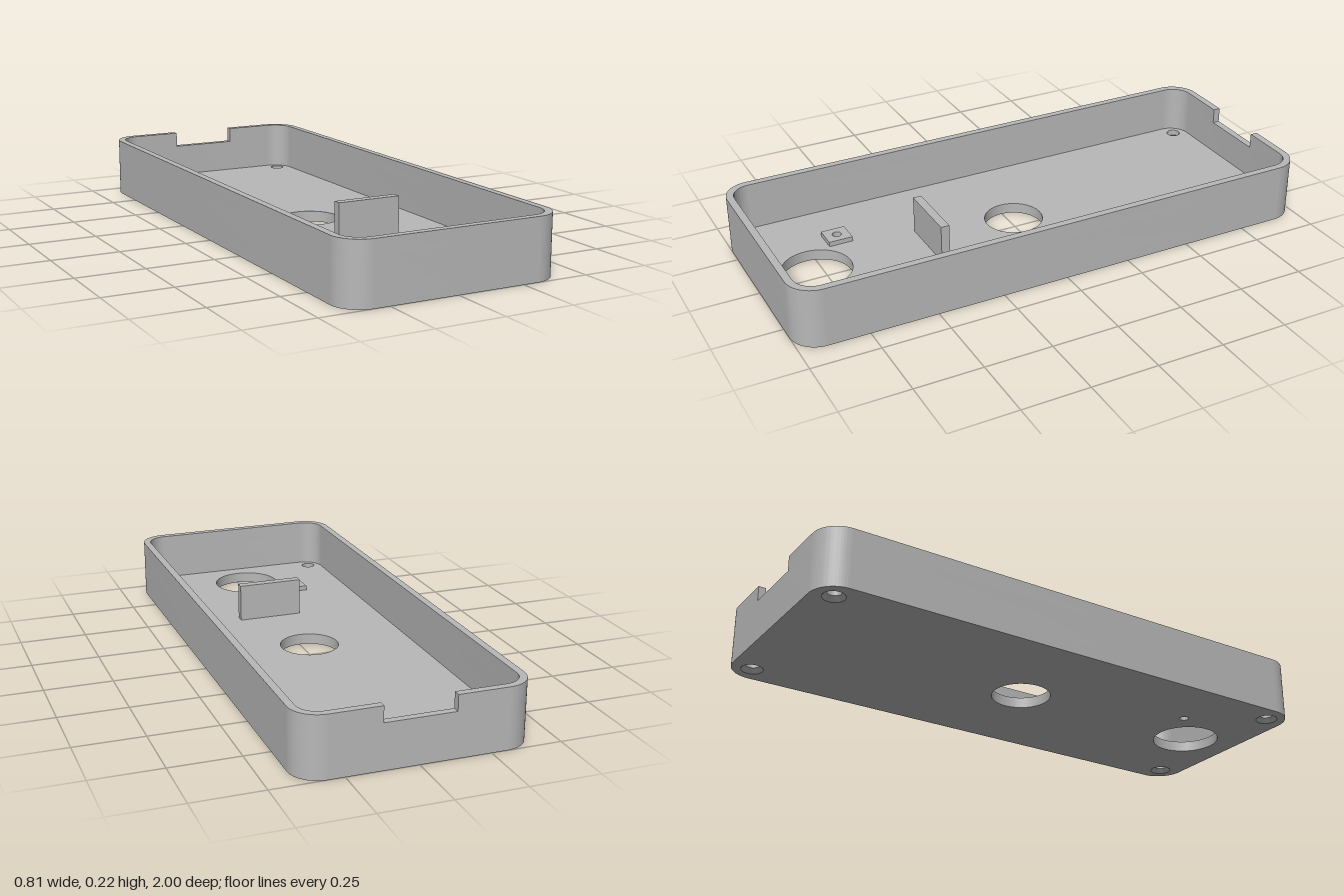
import * as THREE from 'three';
import { toCreasedNormals } from 'three/addons/utils/BufferGeometryUtils.js';

const W = 0.406, L = 1, H = 0.22;      // half width, half length, height
const WALL = 0.027, R = 0.1;           // wall thickness, outer corner radius
const FLOOR = 0.04, SINK = 0.018;      // floor thickness, countersink depth
const NOTCH_W = 0.125, NOTCH_Y = 0.163;

// Plans are drawn in x and -z, so that extrusion runs upward
function roundedRect(path, inset) {
  const w = W - inset, l = L - inset, r = R - inset;
  path.moveTo(w, -l + r);
  path.lineTo(w, l - r);
  path.absarc(w - r, l - r, r, 0, Math.PI / 2);
  path.lineTo(-w + r, l);
  path.absarc(-w + r, l - r, r, Math.PI / 2, Math.PI);
  path.lineTo(-w, -l + r);
  path.absarc(-w + r, -l + r, r, Math.PI, Math.PI * 1.5);
  path.lineTo(w - r, -l);
  path.absarc(w - r, -l + r, r, Math.PI * 1.5, Math.PI * 2);
  return path;
}

function hole(x, z, r) {
  return new THREE.Path().absarc(x, -z, r, 0, Math.PI * 2, true);
}

function extrudeUp(shape, y0, y1) {
  const g = new THREE.ExtrudeGeometry(shape, { depth: y1 - y0, bevelEnabled: false, curveSegments: 20 });
  g.rotateX(-Math.PI / 2);
  g.translate(0, y0, 0);
  return toCreasedNormals(g, 0.6);
}

export function createModel() {
  const group = new THREE.Group();
  const grey = new THREE.MeshStandardMaterial({ color: 0xb8b8b8 });
  grey.name = 'grey plastic';
  const add = (name, geometry) => {
    const mesh = new THREE.Mesh(geometry, grey);
    mesh.name = name;
    group.add(mesh);
    return mesh;
  };

  const screws = [[-1, -1], [1, -1], [-1, 1], [1, 1]].map(([a, b]) => [a * 0.327, b * 0.92]);
  const pin = [-0.162, 0.649, 0.017];

  // Floor in two layers: wide screw holes below, narrow ones above
  const floorLayer = (name, screwRadius, y0, y1) => {
    const shape = roundedRect(new THREE.Shape(), 0);
    shape.holes.push(hole(0, 0.006, 0.109), hole(0, 0.787, 0.127), hole(...pin));
    for (const [x, z] of screws) shape.holes.push(hole(x, z, screwRadius));
    add(name, extrudeUp(shape, y0, y1));
  };
  floorLayer('floorBottom', 0.04, 0, SINK);
  floorLayer('floorTop', 0.026, SINK, FLOOR);

  // Countersink cones, facing inward to the hole axis
  const cone = new THREE.LatheGeometry([new THREE.Vector2(0.026, SINK), new THREE.Vector2(0.04, 0)], 40);
  for (const [x, z] of screws) add('countersink', cone).position.set(x, 0, z);

  // Closed lower wall
  const ring = roundedRect(new THREE.Shape(), 0);
  ring.holes.push(roundedRect(new THREE.Path(), WALL));
  add('lowerWall', extrudeUp(ring, FLOOR, NOTCH_Y));

  // Upper wall, open at the back for the cable notch
  const outline = (inset) => {
    const w = W - inset, l = L - inset, r = R - inset;
    const p = new THREE.Path();
    p.moveTo(-NOTCH_W, l);
    p.lineTo(-w + r, l);
    p.absarc(-w + r, l - r, r, Math.PI / 2, Math.PI);
    p.lineTo(-w, -l + r);
    p.absarc(-w + r, -l + r, r, Math.PI, Math.PI * 1.5);
    p.lineTo(w - r, -l);
    p.absarc(w - r, -l + r, r, Math.PI * 1.5, Math.PI * 2);
    p.lineTo(w, l - r);
    p.absarc(w - r, l - r, r, 0, Math.PI / 2);
    p.lineTo(NOTCH_W, l);
    return p.getPoints(20);
  };
  const upper = new THREE.Shape([...outline(0), ...outline(WALL).reverse()]);
  add('upperWall', extrudeUp(upper, NOTCH_Y, H));

  // Upright divider plate
  add('dividerPlate', new THREE.BoxGeometry(0.243, 0.14, 0.032)).position.set(0.04, FLOOR + 0.07, 0.36);

  // Small square pad with a through hole
  const [px, pz] = pin, a = 0.0425, b = 0.045;
  const pad = new THREE.Shape([[-a, -b], [a, -b], [a, b], [-a, b]].map(([u, v]) => new THREE.Vector2(px + u, -pz + v)));
  pad.holes.push(hole(...pin));
  add('pinPad', extrudeUp(pad, FLOOR, FLOOR + 0.018));

  return group;
}
